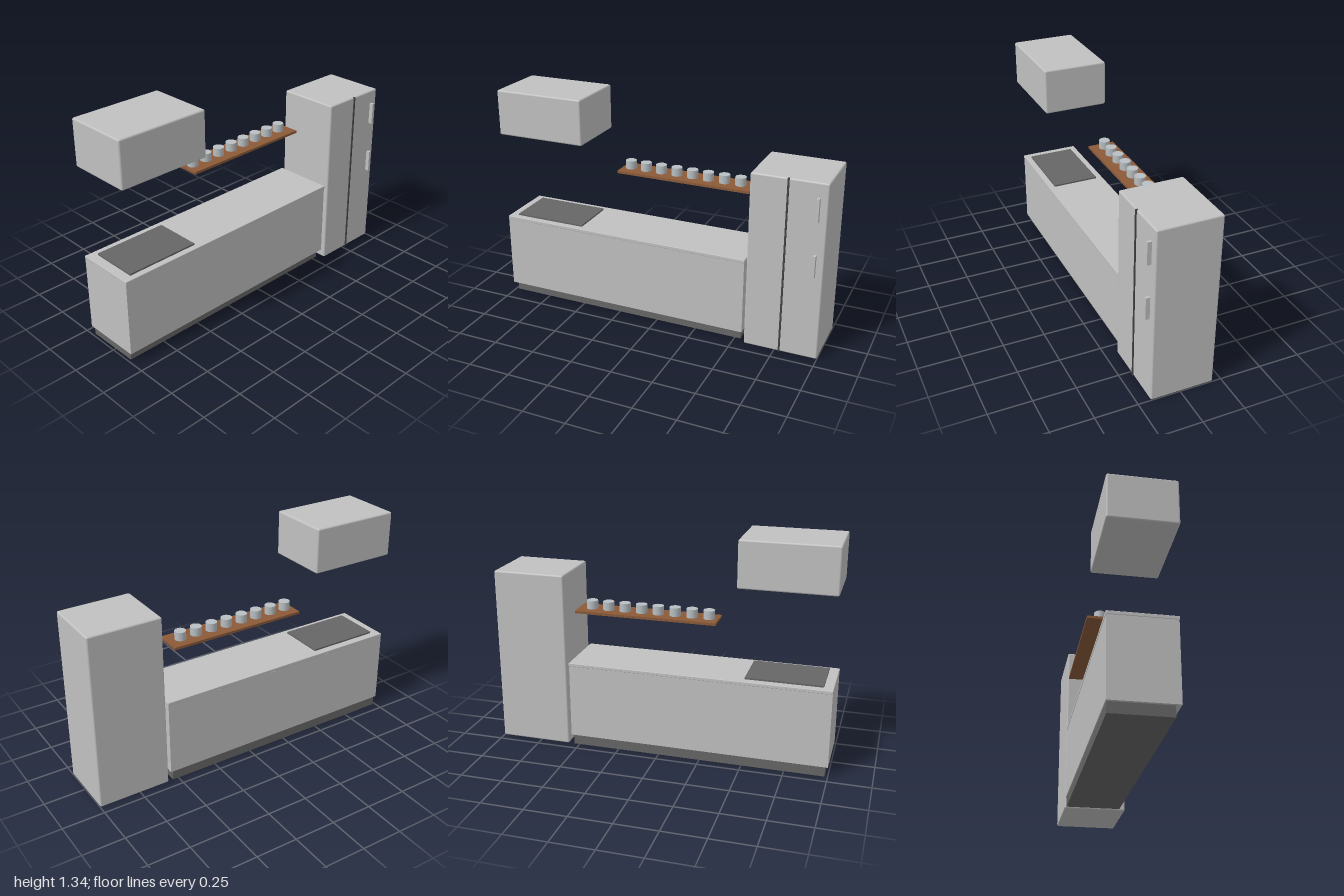
import * as THREE from 'three';
import { RoundedBoxGeometry } from 'three/addons/geometries/RoundedBoxGeometry.js';

const BACK = -0.199; // shared wall plane

function material(name, color) {
  const m = new THREE.MeshStandardMaterial({ color });
  m.name = name;
  return m;
}

export function createModel() {
  const model = new THREE.Group();
  model.name = 'kitchen';

  const grey = material('lightGrey', 0xc0c0c0);
  const dark = material('darkGrey', 0x666666);
  const wood = material('wood', 0x8b5a38);
  const steel = material('jarGrey', 0xb8bec2);
  const black = material('seamGrey', 0x444444);

  // Box given by its extents; a bevel above zero rounds the edges
  function box(name, mat, [x0, x1], [y0, y1], [z0, z1], bevel = 0, parent = model) {
    const size = [x1 - x0, y1 - y0, z1 - z0];
    const geo = bevel
      ? new RoundedBoxGeometry(...size, 2, bevel)
      : new THREE.BoxGeometry(...size);
    const mesh = new THREE.Mesh(geo, mat);
    mesh.name = name;
    mesh.position.set((x0 + x1) / 2, (y0 + y1) / 2, (z0 + z1) / 2);
    parent.add(mesh);
    return mesh;
  }

  function group(name) {
    const g = new THREE.Group();
    g.name = name;
    model.add(g);
    return g;
  }

  // Base counter
  const counter = group('counter');
  box('plinth', dark, [-0.983, 0.535], [0, 0.06], [-0.192, 0.135], 0, counter);
  box('counterBody', grey, [-0.999, 0.549], [0.06, 0.505], [-0.197, 0.163], 0, counter);
  box('countertop', grey, [-1, 0.551], [0.505, 0.525], [BACK, 0.166], 0.003, counter);
  box('hob', dark, [-0.945, -0.5], [0.525, 0.535], [-0.155, 0.13], 0, counter);

  // Wall cabinet
  box('wallCabinet', grey, [-1, -0.449], [1.062, 1.335], [BACK, 0.188], 0.01);

  // Fridge with door seam and two handles
  const fridge = group('fridge');
  box('fridgeBody', grey, [0.567, 1], [0, 1.057], [BACK, 0.176], 0.01, fridge);
  box('doorSeam', black, [0.775, 0.785], [0.001, 1.057], [0.168, 0.182], 0, fridge);
  for (const y of [0.51, 0.84]) {
    box('handle', grey, [0.941, 0.957], [y, y + 0.133], [0.174, 0.2], 0, fridge);
  }

  // Shelf with a row of jars
  const shelf = group('shelf');
  box('shelfBoard', wood, [-0.335, 0.498], [0.84, 0.855], [BACK, -0.037], 0, shelf);
  const jarGeo = new THREE.CylinderGeometry(0.033, 0.033, 0.05, 16);
  for (let i = 0; i < 8; i++) {
    const jar = new THREE.Mesh(jarGeo, steel);
    jar.name = 'jar';
    jar.position.set(-0.281 + i * 0.0998, 0.88, -0.119);
    shelf.add(jar);
  }

  return model;
}
